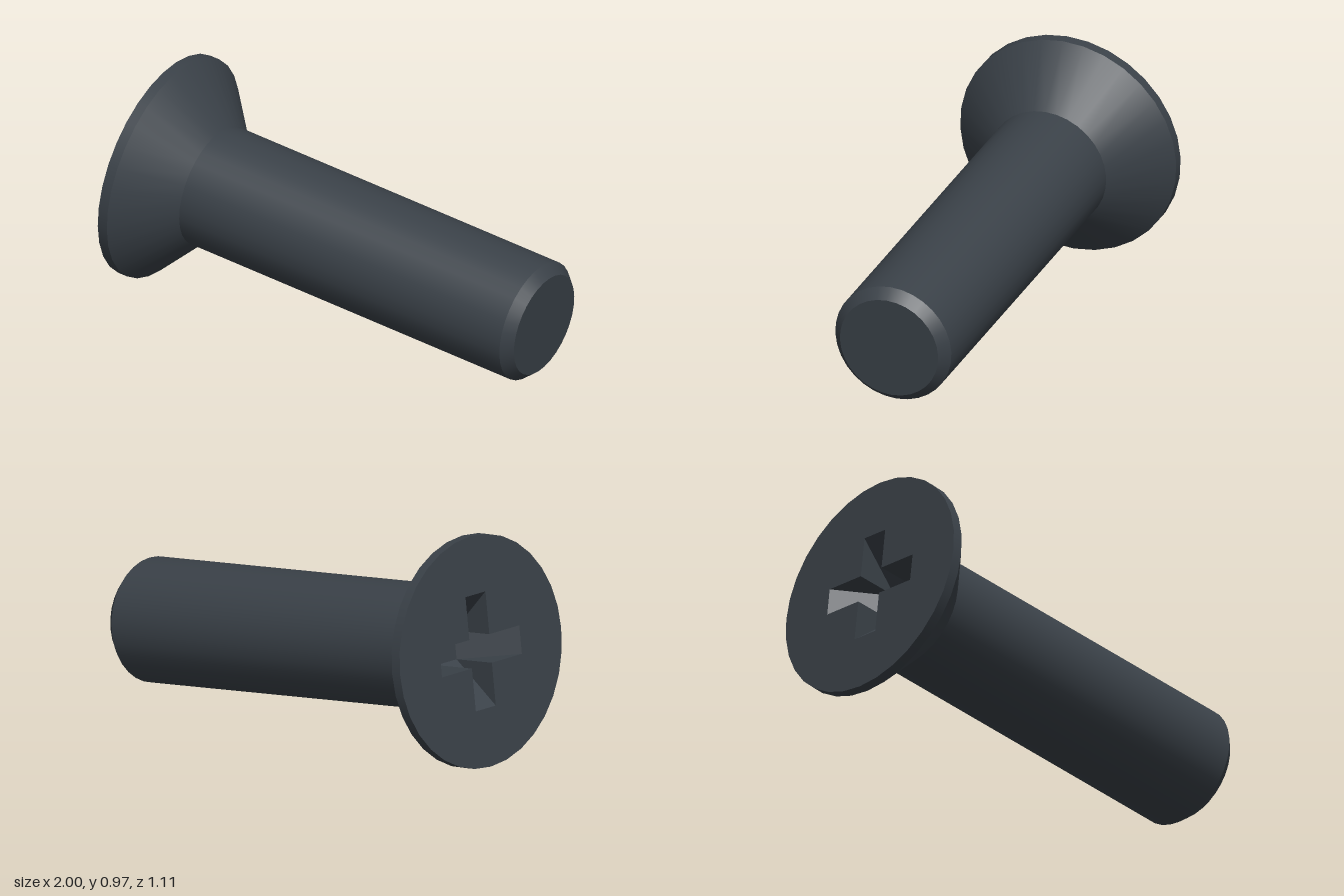
import * as THREE from 'three';

const SIDES = 32;
const HEAD_R = 0.484, SHAFT_R = 0.26, TIP_R = 0.22;
const LENGTH = 1.888;
// cross recess: arm reach, half arm width, depth
const REACH = 0.24, HALF = 0.06, DEPTH = 0.2;

export function createModel() {
  const steel = new THREE.MeshStandardMaterial({ color: 0x3a4148 });
  steel.name = 'dark steel';

  const screw = new THREE.Group();
  screw.name = 'countersunkScrew';
  const add = (name, geometry) => {
    const mesh = new THREE.Mesh(geometry, steel);
    mesh.name = name;
    screw.add(mesh);
  };

  // Local frame: head face at z = 0 looking along +z, shaft running to -z.
  const band = (name, r0, t0, r1, t1) => {
    const profile = [new THREE.Vector2(r0, t0), new THREE.Vector2(r1, t1)];
    add(name, new THREE.LatheGeometry(profile, SIDES).rotateX(-Math.PI / 2));
  };
  band('headRim', HEAD_R, 0, HEAD_R, 0.045);
  band('headCone', HEAD_R, 0.045, SHAFT_R, 0.252);
  band('shaft', SHAFT_R, 0.252, SHAFT_R, LENGTH - 0.045);
  band('tipChamfer', SHAFT_R, LENGTH - 0.045, TIP_R, LENGTH);
  add('tipFace', new THREE.CircleGeometry(TIP_R, SIDES).rotateY(Math.PI).translate(0, 0, -LENGTH));

  // Flat head face with a cross-shaped opening
  const rim = [], cross = [];
  for (let i = 0; i < SIDES; i++) {
    const a = (i / SIDES) * Math.PI * 2;
    rim.push(new THREE.Vector2(Math.cos(a) * HEAD_R, Math.sin(a) * HEAD_R));
  }
  const origin = new THREE.Vector2();
  for (let i = 0; i < 4; i++) {
    for (const [x, y] of [[REACH, -HALF], [REACH, HALF], [HALF, HALF]]) {
      cross.push(new THREE.Vector2(x, y).rotateAround(origin, i * Math.PI / 2));
    }
  }
  const face = new THREE.Shape(rim);
  face.holes.push(new THREE.Path(cross));
  add('headFace', new THREE.ShapeGeometry(face));

  // Recess arms: two triangular side walls and a floor sloping to the centre
  const outerA = [REACH, -HALF, 0], outerB = [REACH, HALF, 0];
  const innerA = [HALF, -HALF, 0], innerB = [HALF, HALF, 0];
  const deepA = [HALF, -HALF, -DEPTH], deepB = [HALF, HALF, -DEPTH];
  const corners = [
    outerA, outerB, deepB, outerA, deepB, deepA,
    innerA, outerA, deepA,
    outerB, innerB, deepB,
  ].flat();
  for (let i = 0; i < 4; i++) {
    const arm = new THREE.BufferGeometry();
    arm.setAttribute('position', new THREE.Float32BufferAttribute(corners, 3));
    arm.rotateZ(i * Math.PI / 2);
    arm.computeVertexNormals();
    add('recessArm', arm);
  }
  add('recessFloor', new THREE.PlaneGeometry(HALF * 2, HALF * 2).translate(0, 0, -DEPTH));

  // Lay the screw at its resting tilt
  const axis = new THREE.Vector3(0.971, -0.121, 0.207).normalize();
  screw.position.set(-0.888, 0.485, -0.084);
  screw.lookAt(screw.position.clone().sub(axis));

  const model = new THREE.Group();
  model.name = 'screwModel';
  model.add(screw);
  return model;
}
